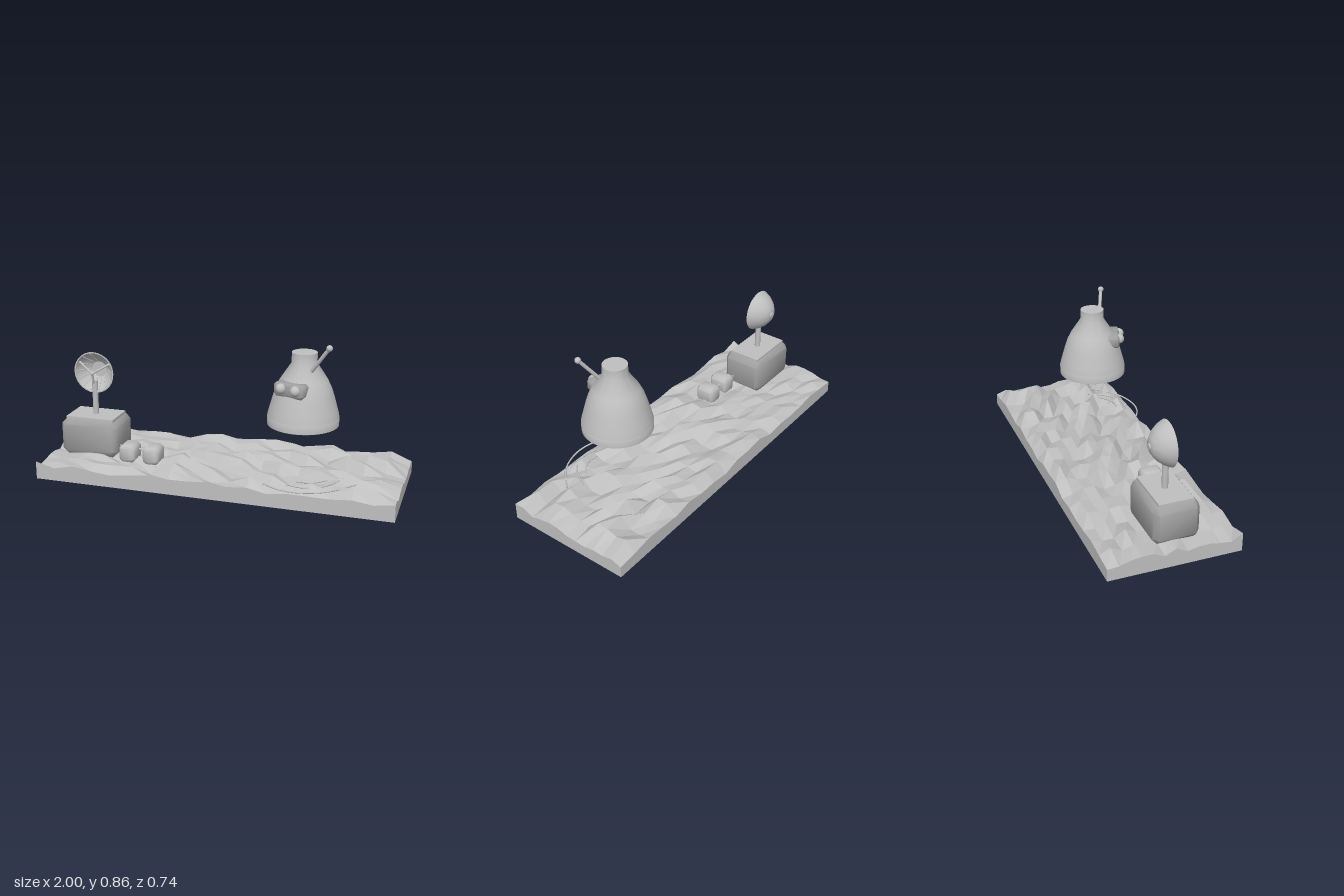
import * as THREE from 'three';
import { toCreasedNormals } from 'three/addons/utils/BufferGeometryUtils.js';

export function createModel() {
  const model = new THREE.Group();
  const stone = new THREE.MeshStandardMaterial({ color: 0xbfbfbf, side: THREE.DoubleSide });
  stone.name = 'light grey';
  const dark = new THREE.MeshStandardMaterial({ color: 0xa0a0a0 });
  dark.name = 'mid grey';

  const V = (x, y, z) => new THREE.Vector3(x, y, z);
  function add(name, geometry, pos = [0, 0, 0], material = stone, parent = model) {
    const mesh = new THREE.Mesh(geometry, material);
    mesh.name = name;
    mesh.position.set(...pos);
    parent.add(mesh);
    return mesh;
  }
  // Straight round bar between two points
  function bar(name, a, b, r, parent = model) {
    const dir = b.clone().sub(a);
    const mid = a.clone().add(b).multiplyScalar(0.5);
    const mesh = add(name, new THREE.CylinderGeometry(r, r, dir.length(), 12), mid.toArray(), stone, parent);
    mesh.quaternion.setFromUnitVectors(V(0, 1, 0), dir.normalize());
    return mesh;
  }
  // Box with all edges chamfered by c, softly shaded
  function chamferBox(w, h, d, c) {
    const x = w / 2 - c, y = h / 2 - c, k = c * 0.7;
    const s = new THREE.Shape([
      [-x + k, -y], [x - k, -y], [x, -y + k], [x, y - k],
      [x - k, y], [-x + k, y], [-x, y - k], [-x, -y + k],
    ].map(p => new THREE.Vector2(...p)));
    const g = new THREE.ExtrudeGeometry(s, {
      depth: d - 2 * c, bevelEnabled: true, bevelSize: c, bevelThickness: c, bevelSegments: 1,
    });
    g.translate(0, 0, -(d - 2 * c) / 2);
    return toCreasedNormals(g, 0.9);
  }
  const lathe = (pts, n, crease = 0.5) => toCreasedNormals(
    new THREE.LatheGeometry(pts.map(p => new THREE.Vector2(...p)), n), crease);

  // Rugged ground slab, lower around the station
  const hash = (i, j) => {
    const s = Math.sin(i * 127.1 + j * 311.7 + 4.2) * 43758.5453;
    return s - Math.floor(s);
  };
  const NX = 18, NZ = 12, W = 2, D = 0.715;
  let ground = new THREE.BoxGeometry(D, 0.1, W, NZ, 1, NX).rotateY(Math.PI / 2);
  const p = ground.attributes.position;
  for (let n = 0; n < p.count; n++) {
    if (p.getY(n) < 0) { p.setY(n, 0); continue; }
    const i = Math.round((p.getX(n) / W + 0.5) * NX);
    const j = Math.round((p.getZ(n) / D + 0.5) * NZ);
    const edge = i === 0 || i === NX || j === 0 || j === NZ;
    const rise = i < 7 ? 0.045 : 0.075;
    p.setY(n, edge ? 0.063 + 0.04 * hash(i, j) : 0.073 + rise * hash(i, j));
  }
  ground = ground.toNonIndexed();
  ground.computeVertexNormals();
  add('ground', ground, [0, 0, -0.0125]);

  // Ground station cabinet
  const station = new THREE.Group();
  station.name = 'station';
  model.add(station);
  add('cabinet', chamferBox(0.34, 0.21, 0.243, 0.024), [-0.77, 0.188, 0.02], dark, station);
  add('cabinetTop', new THREE.BoxGeometry(0.285, 0.02, 0.187), [-0.77, 0.295, 0.021], stone, station);
  bar('mast', V(-0.77, 0.3, 0.02), V(-0.77, 0.5, 0.02), 0.0165, station);

  // Dish antenna, opening towards the front
  const dish = new THREE.Group();
  dish.name = 'dish';
  dish.position.set(-0.77, 0.55, -0.07);
  station.add(dish);
  const bowl = add('bowl', lathe([
    [0, 0], [0.045, 0.01], [0.08, 0.036], [0.105, 0.068], [0.12, 0.1],
    [0.113, 0.1], [0.098, 0.07], [0.074, 0.043], [0.045, 0.02], [0, 0.018],
  ], 28, 0.6), [0, 0, 0], stone, dish);
  bowl.rotation.x = Math.PI / 2;
  const hub = add('hub', new THREE.CylinderGeometry(0.016, 0.016, 0.012, 16), [0, 0, 0.002], stone, dish);
  hub.rotation.x = Math.PI / 2;
  for (let k = 0; k < 14; k++) {
    const a = (k / 14) * Math.PI * 2, c = Math.cos(a), s = Math.sin(a);
    bar('rib', V(c * 0.05, s * 0.05, 0.024), V(c * 0.11, s * 0.11, 0.094), 0.003, dish);
  }
  for (const deg of [30, 150, 270]) {
    const a = (deg * Math.PI) / 180;
    bar('feedStrut', V(Math.cos(a) * 0.105, Math.sin(a) * 0.105, 0.085), V(0, 0, 0.125), 0.006, dish);
  }
  add('feed', new THREE.SphereGeometry(0.01, 12, 8), [0, 0, 0.125], stone, dish);

  // Equipment boxes and the cables joining them
  for (const x of [-0.528, -0.388]) {
    add('equipmentBox', chamferBox(0.095, 0.1, 0.115, 0.014), [x, 0.13, 0.11]);
  }
  bar('cable', V(-0.62, 0.15, 0.07), V(-0.56, 0.14, 0.09), 0.005);
  bar('cable', V(-0.49, 0.145, 0.09), V(-0.42, 0.135, 0.1), 0.005);

  // Hovering capsule
  const capsule = new THREE.Group();
  capsule.name = 'capsule';
  capsule.position.set(0.46, 0, 0.09);
  model.add(capsule);
  add('hull', lathe([
    [0, 0.395], [0.18, 0.395], [0.185, 0.39], [0.191, 0.393], [0.191, 0.438], [0.189, 0.441],
    [0.189, 0.449], [0.182, 0.475], [0.161, 0.55], [0.146, 0.595], [0.125, 0.638],
    [0.068, 0.725], [0.067, 0.783], [0, 0.783],
  ], 48, 0.62), [0, 0, 0], stone, capsule);

  // Twin lamps in a housing
  const housing = add('lampHousing', chamferBox(0.18, 0.075, 0.075, 0.012), [-0.042, 0.607, 0.113], dark, capsule);
  housing.rotation.y = -0.34;
  for (const [x, z] of [[-0.092, 0.135], [-0.01, 0.164]]) {
    add('lamp', new THREE.SphereGeometry(0.028, 20, 14), [x, 0.615, z], stone, capsule);
  }

  // Slanted aerial
  bar('aerial', V(0.052, 0.7, 0.063), V(0.15, 0.84, 0.11), 0.01, capsule);
  add('aerialTip', new THREE.SphereGeometry(0.017, 16, 12), [0.15, 0.84, 0.11], stone, capsule);

  // Curved marks on the ground in front of the capsule
  const arcs = [
    [V(0.3, 0.112, 0.305), V(0.39, 0.111, 0.353), V(0.5, 0.11, 0.365), V(0.64, 0.112, 0.318), V(0.78, 0.116, 0.18)],
    [V(0.42, 0.116, 0.29), V(0.51, 0.116, 0.308), V(0.61, 0.118, 0.268), V(0.7, 0.122, 0.14)],
    [V(0.47, 0.122, 0.25), V(0.55, 0.122, 0.245), V(0.62, 0.124, 0.19)],
  ];
  for (const pts of arcs) {
    add('groundArc', new THREE.TubeGeometry(new THREE.CatmullRomCurve3(pts), 32, 0.0045, 8));
  }
  return model;
}
